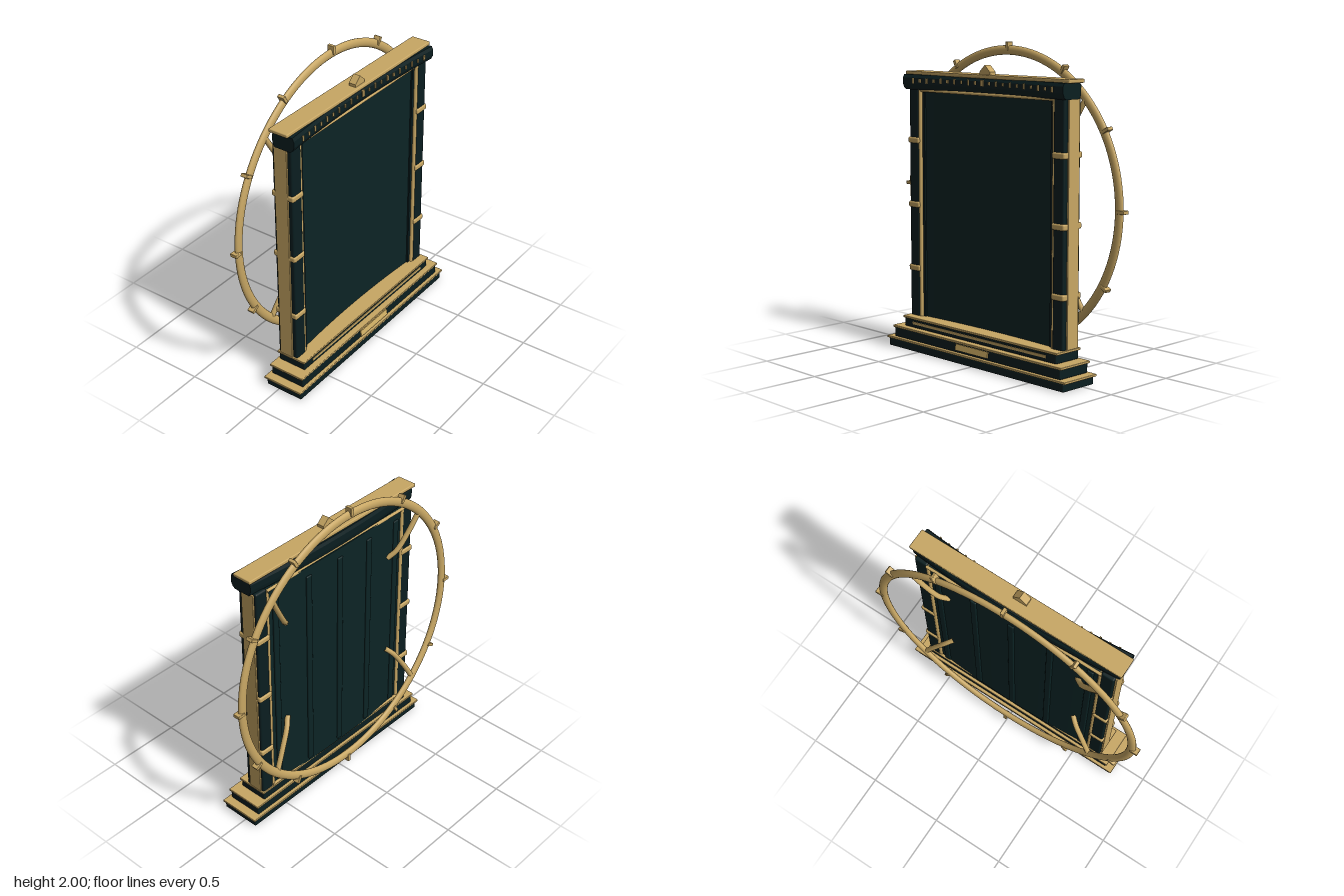
import * as THREE from 'three';
import { RoundedBoxGeometry } from 'three/addons/geometries/RoundedBoxGeometry.js';

export function createModel() {
  const model = new THREE.Group();
  model.name = 'ornateFrame';
  const material = (name, color) => {
    const m = new THREE.MeshStandardMaterial({ color });
    m.name = name;
    return m;
  };
  const gold = material('gold', 0xc8a764);
  const dark = material('darkTeal', 0x0a1e20);
  const panelTeal = material('panelTeal', 0x0c2425);
  const plaqueGold = material('paleGold', 0xd6b468);

  const add = (name, geometry, mat, parent = model) => {
    const mesh = new THREE.Mesh(geometry, mat);
    mesh.name = name;
    parent.add(mesh);
    return mesh;
  };
  // Box given by its limits, with optional rounded edges
  const block = (name, [x0, x1], [y0, y1], [z0, z1], mat, round = 0, parent = model) => {
    const size = [x1 - x0, y1 - y0, z1 - z0];
    const g = round ? new RoundedBoxGeometry(...size, 2, round) : new THREE.BoxGeometry(...size);
    g.translate((x0 + x1) / 2, (y0 + y1) / 2, (z0 + z1) / 2);
    return add(name, g, mat, parent);
  };
  // Shallow bow: the ends come forward
  const bow = (x) => 0.033 * (x / 0.7) ** 2;
  const bend = (g) => {
    const p = g.attributes.position;
    for (let i = 0; i < p.count; i++) p.setZ(i, p.getZ(i) + bow(p.getX(i)));
    g.computeVertexNormals();
    return g;
  };

  // Stepped plinth: dark courses with gold mouldings
  const steps = [
    [0.785, 0, 0.05, -0.09, 0.175, dark, 0.008],
    [0.80, 0.05, 0.065, -0.1, 0.18, gold, 0.004],
    [0.745, 0.065, 0.125, -0.08, 0.16, dark, 0.006],
    [0.757, 0.125, 0.14, -0.088, 0.165, gold, 0.004],
    [0.68, 0.14, 0.195, -0.07, 0.125, dark, 0.006],
    [0.692, 0.195, 0.21, -0.077, 0.132, gold, 0.004],
  ];
  steps.forEach(([w, y0, y1, z0, z1, mat, r], i) =>
    block('plinthStep' + (i + 1), [-w, w], [y0, y1], [z0, z1], mat, r));
  block('plinthInlay', [-0.6, 0.6], [0.163, 0.18], [0.12, 0.129], gold);
  const plaque = block('plaque', [-0.145, 0.145], [-0.02, 0.02], [-0.004, 0.004], plaqueGold);
  plaque.position.set(0, 0.102, 0.167);
  plaque.rotation.x = -0.15;

  // Bowed centre panel with ribs on its back
  const panel = new THREE.BoxGeometry(1.19, 1.48, 0.105, 24, 1, 1);
  panel.translate(0, 0.95, -0.0325);
  add('centrePanel', bend(panel), panelTeal);
  for (let i = -2; i <= 2; i++) {
    const x = i * 0.265;
    const z = -0.085 + bow(x);
    block('backRib', [x - 0.022, x + 0.022], [0.23, 1.63], [z - 0.01, z + 0.01], panelTeal, 0.008);
  }
  // Narrow inner border around the front panel
  for (const s of [-1, 1])
    block('panelBorder', [s * 0.567 - 0.01, s * 0.567 + 0.01], [0.21, 1.67], [0.03, 0.052], dark);

  // Columns with side strips, beads and clasps
  for (const s of [-1, 1]) {
    const column = new THREE.Group();
    column.name = s > 0 ? 'leftColumn' : 'rightColumn';
    model.add(column);
    const span = (a, b) => (s > 0 ? [a, b] : [-b, -a]);
    block('columnShaft', span(0.595, 0.682), [0.2, 1.7], [-0.07, 0.072], dark, 0.012, column);
    block('sideStrip', span(0.67, 0.692), [0.21, 1.69], [-0.052, 0.042], gold, 0.004, column);
    for (const z of [0.055, -0.06]) {
      const bead = new THREE.CylinderGeometry(0.014, 0.014, 1.48, 12);
      bead.translate(s * 0.592, 0.95, z);
      add('columnBead', bead, gold, column);
    }
    for (const y of [0.527, 0.945, 1.363])
      block('clasp', span(0.587, 0.69), [y - 0.02, y + 0.02], [-0.08, 0.08], gold, 0.012, column);
  }
  // Horizontal beads at the top and bottom of the panel
  for (const [y, z] of [[1.685, 0.055], [1.685, -0.068], [0.215, -0.068]]) {
    const rail = new THREE.CylinderGeometry(0.01, 0.01, 1.2, 10);
    rail.rotateZ(Math.PI / 2);
    rail.translate(0, y, z);
    add('panelRail', rail, gold);
  }

  // Bowed entablature from a moulded cross-section (points are z, y)
  const profile = [
    [0.045, 1.688], [0.062, 1.7], [0.073, 1.725], [0.073, 1.765], [0.062, 1.785],
    [-0.07, 1.785], [-0.08, 1.765], [-0.08, 1.725], [-0.075, 1.7], [-0.065, 1.688],
  ];
  const shape = new THREE.Shape(profile.map(([z, y]) => new THREE.Vector2(-z, y)));
  const entablature = new THREE.ExtrudeGeometry(shape, { depth: 1.404, steps: 28, bevelEnabled: false });
  entablature.translate(0, 0, -0.702);
  entablature.rotateY(Math.PI / 2);
  add('entablature', bend(entablature), dark);

  // Row of small gold dentils
  for (let i = -10; i <= 10; i++) {
    const x = i * 0.061;
    const y = 1.754 - 0.009 * (i / 10) ** 2;
    const z = 0.073 + bow(x);
    const w = i ? 0.006 : 0.011;
    const h = i ? (i % 2 ? 0.011 : 0.017) : 0.02;
    block('dentil', [x - w, x + w], [y - h, y + h], [z - 0.006, z + 0.007], gold);
  }

  // Cap slab and gabled finial
  block('capSlab', [-0.718, 0.718], [1.782, 1.805], [-0.06, 0.072], gold, 0.006);
  const gable = new THREE.Shape([
    [-0.046, 1.8], [0.046, 1.8], [0.046, 1.822], [0, 1.864], [-0.046, 1.822],
  ].map(([x, y]) => new THREE.Vector2(x, y)));
  const finial = new THREE.ExtrudeGeometry(gable, { depth: 0.048, bevelEnabled: false });
  finial.translate(0, 0, 0.004);
  add('finial', finial, gold);

  // Ring behind the frame, with twelve studs
  const ring = new THREE.Group();
  ring.name = 'backRing';
  ring.position.set(0, 1.04, -0.155);
  model.add(ring);
  const hoop = new THREE.TorusGeometry(0.91, 0.029, 16, 120);
  hoop.scale(1, 1, 0.62);
  add('hoop', hoop, gold, ring);
  for (let i = 0; i < 12; i++) {
    const stud = new RoundedBoxGeometry(0.055, 0.022, 0.046, 2, 0.004);
    stud.translate(0.934, 0, 0);
    stud.rotateZ((i * Math.PI) / 6);
    add('ringStud', stud, gold, ring);
  }

  // Four curved struts joining the ring to the panel
  for (const sx of [-1, 1]) for (const sy of [-1, 1]) {
    const points = [[0.455, 0.35, -0.07], [0.5, 0.4, -0.105], [0.57, 0.51, -0.133], [0.643, 0.643, -0.155]];
    const path = new THREE.CatmullRomCurve3(
      points.map(([x, y, z]) => new THREE.Vector3(sx * x, 1.04 + sy * y, z)));
    add('ringStrut', new THREE.TubeGeometry(path, 20, 0.017, 10), gold);
  }
  return model;
}
